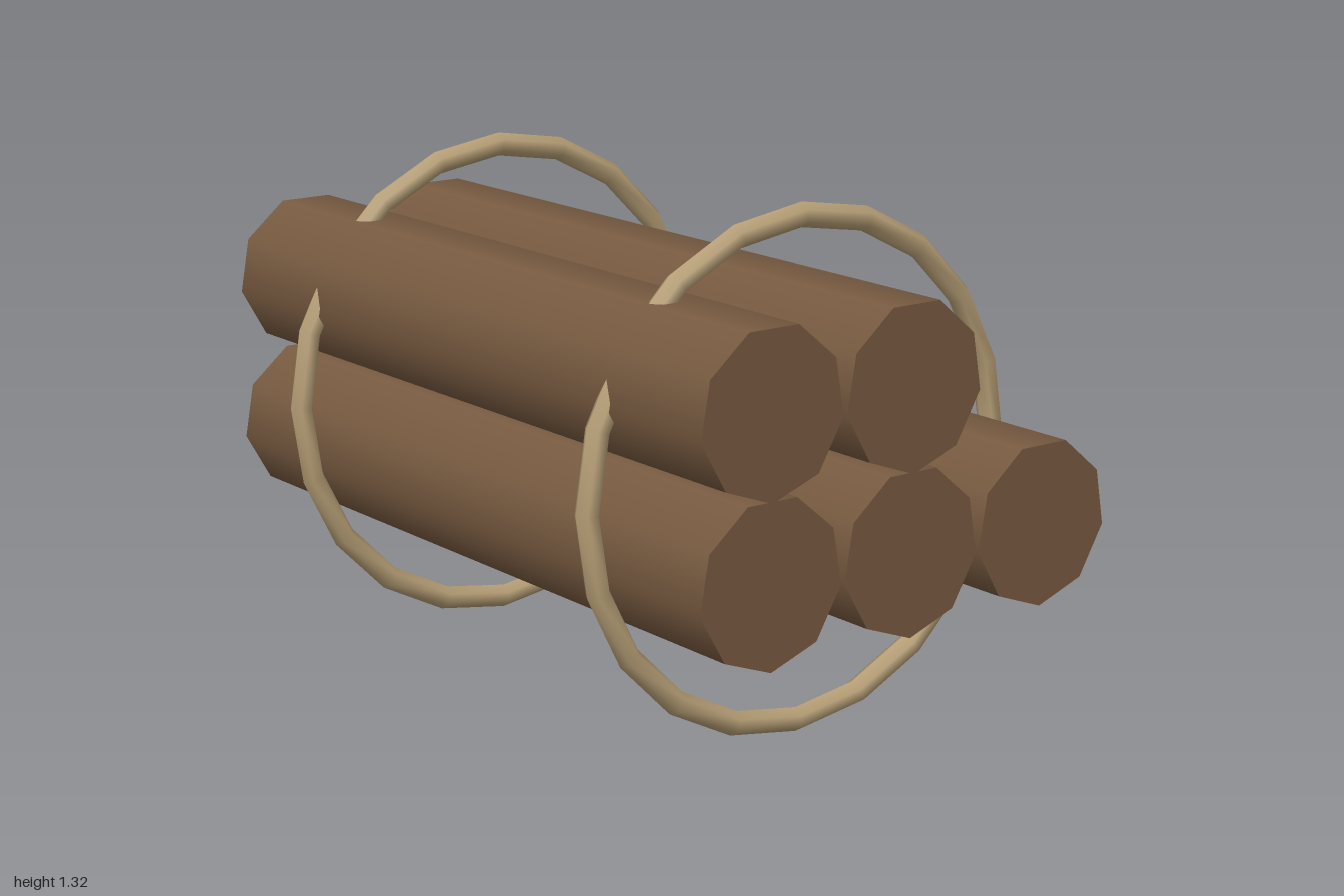
import * as THREE from 'three';

export function createModel() {
  const group = new THREE.Group();
  const bark = new THREE.MeshStandardMaterial({ color: 0x775a40 });
  bark.name = 'brown wood';
  const hemp = new THREE.MeshStandardMaterial({ color: 0xb8a077 });
  hemp.name = 'tan rope';

  // Nine-sided logs lying along z, one corner pointing down
  const logGeometry = new THREE.CylinderGeometry(0.209, 0.209, 2, 9).rotateX(Math.PI / 2);
  const rows = [
    { y: 0.54, xs: [-0.385, 0.037, 0.457] },
    { y: 0.941, xs: [-0.385, 0.037] },
  ];
  rows.forEach(({ y, xs }, row) => xs.forEach((x, i) => {
    const log = new THREE.Mesh(logGeometry, bark);
    log.name = `${row ? 'upper' : 'lower'}Log${i + 1}`;
    log.position.set(x, y, 0);
    group.add(log);
  }));

  // Two rope hoops around the bundle
  const hoopGeometry = new THREE.TorusGeometry(0.631, 0.031, 6, 20);
  for (const side of [1, -1]) {
    const hoop = new THREE.Mesh(hoopGeometry, hemp);
    hoop.name = side > 0 ? 'frontRope' : 'backRope';
    hoop.position.set(-0.004, 0.664, side * 0.632);
    group.add(hoop);
  }
  return group;
}
